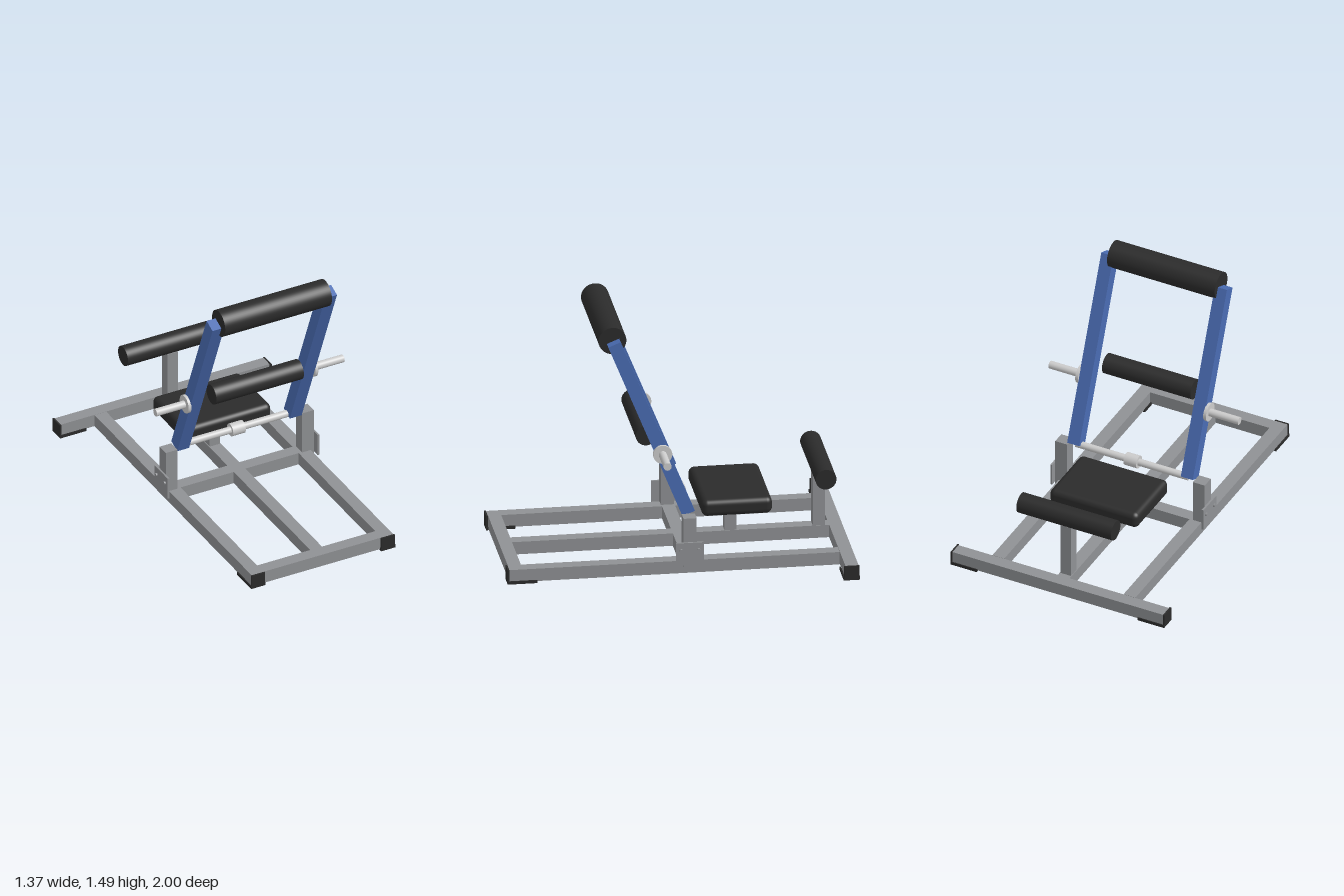
import * as THREE from 'three';
import { RoundedBoxGeometry } from 'three/addons/geometries/RoundedBoxGeometry.js';

const mat = (color) => new THREE.MeshStandardMaterial({ color });

export function createModel() {
  const root = new THREE.Group();
  root.name = 'hipThrustBench';
  const steel = mat(0x8f9194);
  const chrome = mat(0xcccccc);
  const blue = mat(0x4a6cb3);
  const foam = mat(0x2b2b2b);

  const add = (name, geometry, material, x, y, z, parent = root) => {
    const mesh = new THREE.Mesh(geometry, material);
    mesh.name = name;
    mesh.position.set(x, y, z);
    parent.add(mesh);
    return mesh;
  };
  const box = (name, material, w, h, d, x, y, z, parent) =>
    add(name, new THREE.BoxGeometry(w, h, d), material, x, y, z, parent);
  // Cylinder lying along x
  const rod = (name, material, r, length, x, y, z, parent, sides = 40) =>
    add(name, new THREE.CylinderGeometry(r, r, length, sides).rotateZ(Math.PI / 2), material, x, y, z, parent);

  // Base frame
  const T = 0.076;
  const frameY = 0.047;
  box('rearCrossbar', steel, 1.35, T, T, 0, frameY, -0.955);
  box('frontCrossbar', steel, 0.78, T, T, 0, frameY, 0.95);
  box('middleCrossbar', steel, 0.78, T, T, 0, frameY, -0.053);
  box('centreRail', steel, T, T, 1.83, 0, frameY, -0.002);

  // Foot: sole, low lips and an end cap, built along +z with the cap at z = 0
  const makeFoot = (name, x, z, turn) => {
    const foot = new THREE.Group();
    foot.name = name;
    box('sole', foam, 0.094, 0.01, 0.17, 0, 0.005, -0.085, foot);
    box('endCap', foam, 0.088, 0.086, 0.01, 0, 0.043, -0.005, foot);
    for (const s of [-1, 1]) {
      box('lip', foam, 0.006, 0.018, 0.17, s * 0.044, 0.009, -0.085, foot);
    }
    foot.position.set(x, 0, z);
    foot.rotation.y = turn;
    root.add(foot);
  };

  for (const s of [-1, 1]) {
    const side = s > 0 ? 'left' : 'right';
    box(side + 'Rail', steel, T, T, 1.905, s * 0.42, frameY, 0.037);
    makeFoot(side + 'FrontFoot', s * 0.42, 1, 0);
    makeFoot(side + 'RearFoot', s * 0.685, -0.953, s * Math.PI / 2);

    // Upright with its bolted plate
    box(side + 'Upright', steel, T, 0.3, T, s * 0.441, 0.2, -0.05);
    box(side + 'Plate', steel, 0.012, 0.136, 0.16, s * 0.485, 0.137, -0.047);
    for (const z of [0.003, -0.097]) {
      rod(side + 'Bolt', steel, 0.01, 0.012, s * 0.495, 0.16, z, root, 16);
    }
  }

  // Pivot shaft with its centre sleeve
  rod('pivotShaft', chrome, 0.021, 0.72, 0, 0.35, -0.053);
  rod('pivotSleeve', chrome, 0.038, 0.082, 0, 0.35, -0.053);

  // Swinging arms, tilted forward about the pivot
  const swing = new THREE.Group();
  swing.name = 'swingArm';
  swing.position.set(0, 0.35, -0.053);
  swing.rotation.x = Math.atan2(0.428, 1.062);
  root.add(swing);
  for (const s of [-1, 1]) {
    const side = s > 0 ? 'left' : 'right';
    box(side + 'Arm', blue, 0.077, 1.145, 0.077, s * 0.364, 0.5725, 0, swing);
    rod(side + 'PegFlange', chrome, 0.055, 0.018, s * 0.41, 0.406, 0, swing);
    rod(side + 'WeightPeg', chrome, 0.023, 0.2, s * 0.507, 0.406, 0, swing);
  }

  // Foam rollers
  rod('topRoller', foam, 0.08, 0.69, 0, 1.414, 0.378, root, 48);
  rod('middleRoller', foam, 0.06, 0.566, 0, 0.795, 0.174, root, 48);
  rod('rearRoller', foam, 0.06, 0.606, 0, 0.471, -0.86, root, 48);

  // Seat pad and posts
  box('rearPost', steel, 0.068, 0.35, 0.07, 0, 0.245, -0.858);
  box('seatPost', steel, 0.068, 0.21, 0.07, 0, 0.185, -0.349);
  add('seatPad', new RoundedBoxGeometry(0.566, 0.1, 0.406, 5, 0.034), foam, 0, 0.32, -0.352);

  return root;
}
